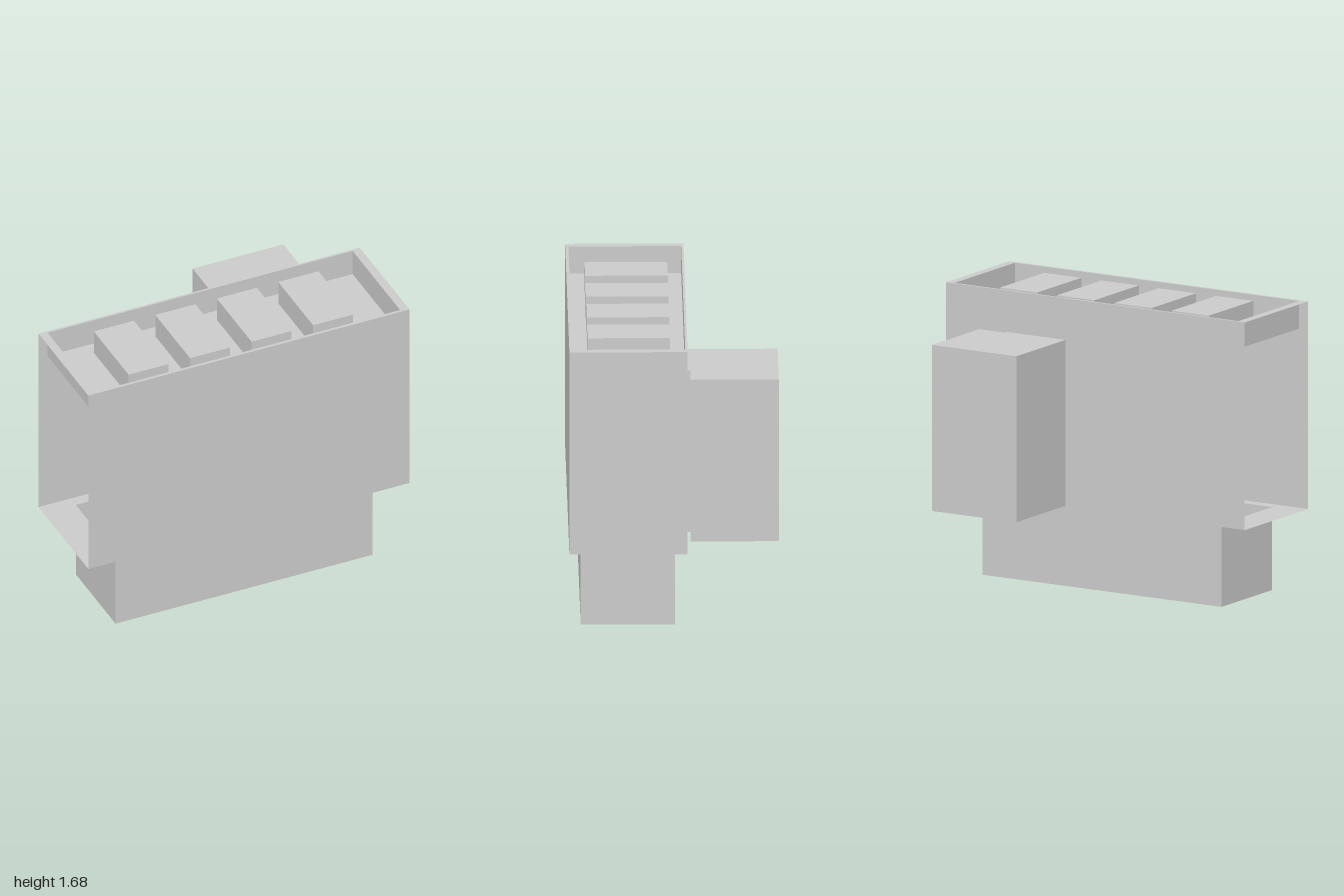
import * as THREE from 'three';

const material = new THREE.MeshStandardMaterial({ color: 0xcccccc, side: THREE.DoubleSide });

// Box given by its bounds; faces listed in `open` are left out.
function box(name, [x0, x1], [y0, y1], [z0, z1], open = []) {
  const geometry = new THREE.BoxGeometry(x1 - x0, y1 - y0, z1 - z0);
  geometry.translate((x0 + x1) / 2, (y0 + y1) / 2, (z0 + z1) / 2);
  const faces = ['+x', '-x', '+y', '-y', '+z', '-z'];
  const index = Array.from(geometry.index.array);
  geometry.setIndex(index.filter((_, i) => !open.includes(faces[Math.floor(i / 6)])));
  geometry.clearGroups();
  const mesh = new THREE.Mesh(geometry, material);
  mesh.name = name;
  return mesh;
}

// Corner points of a rectangle in plan; shape y is -z.
const rect = ([x0, x1], [z0, z1]) =>
  [[x0, -z1], [x1, -z1], [x1, -z0], [x0, -z0]].map(p => new THREE.Vector2(...p));

// Flat horizontal frame with a rectangular opening.
function frame(name, y, outerX, outerZ, innerX, innerZ) {
  const shape = new THREE.Shape(rect(outerX, outerZ));
  shape.holes.push(new THREE.Path(rect(innerX, innerZ)));
  const geometry = new THREE.ShapeGeometry(shape).rotateX(-Math.PI / 2).translate(0, y, 0);
  const mesh = new THREE.Mesh(geometry, material);
  mesh.name = name;
  return mesh;
}

export function createModel() {
  const model = new THREE.Group();
  model.name = 'rooftopUnit';

  const bodyX = [-1, 1], bodyZ = [-0.075, 0.593], bottom = 0.48, top = 1.68;
  const trayX = [-0.95, 0.95], trayZ = [-0.062, 0.575], trayFloor = 1.52;
  const plinthX = [-0.8, 0.8], plinthZ = [-0.005, 0.527];

  // Plinth, open into the hollow body
  model.add(box('plinth', plinthX, [0, bottom], plinthZ, ['+y']));

  // Body shell, open at the -x end
  model.add(box('bodyShell', bodyX, [bottom, top], bodyZ, ['-x', '+y', '-y']));
  model.add(frame('bodyFloor', bottom, bodyX, bodyZ, plinthX, plinthZ));

  // Sunken tray with a thin rim
  model.add(frame('topRim', top, bodyX, bodyZ, trayX, trayZ));
  model.add(box('tray', trayX, [trayFloor, top], trayZ, ['+y']));

  // Row of four blocks in the tray
  const blocks = new THREE.Group();
  blocks.name = 'trayBlocks';
  for (let i = 0; i < 4; i++) {
    const x = -0.7 + i * 0.383;
    blocks.add(box('trayBlock', [x, x + 0.25], [trayFloor, 1.667], [0.02, 0.487], ['-y']));
  }
  model.add(blocks);

  // Rear cabinet, stepped back from the body at its outer corner
  const plan = [[0.2, 0.075], [0.595, 0.075], [0.595, 0.095], [0.765, 0.095], [0.765, 0.593], [0.2, 0.593]];
  const cabinet = new THREE.Mesh(
    new THREE.ExtrudeGeometry(new THREE.Shape(plan.map(p => new THREE.Vector2(...p))),
      { depth: 1.44 - bottom, bevelEnabled: false }).rotateX(-Math.PI / 2).translate(0, bottom, 0),
    material);
  cabinet.name = 'rearCabinet';
  model.add(cabinet);

  return model;
}
